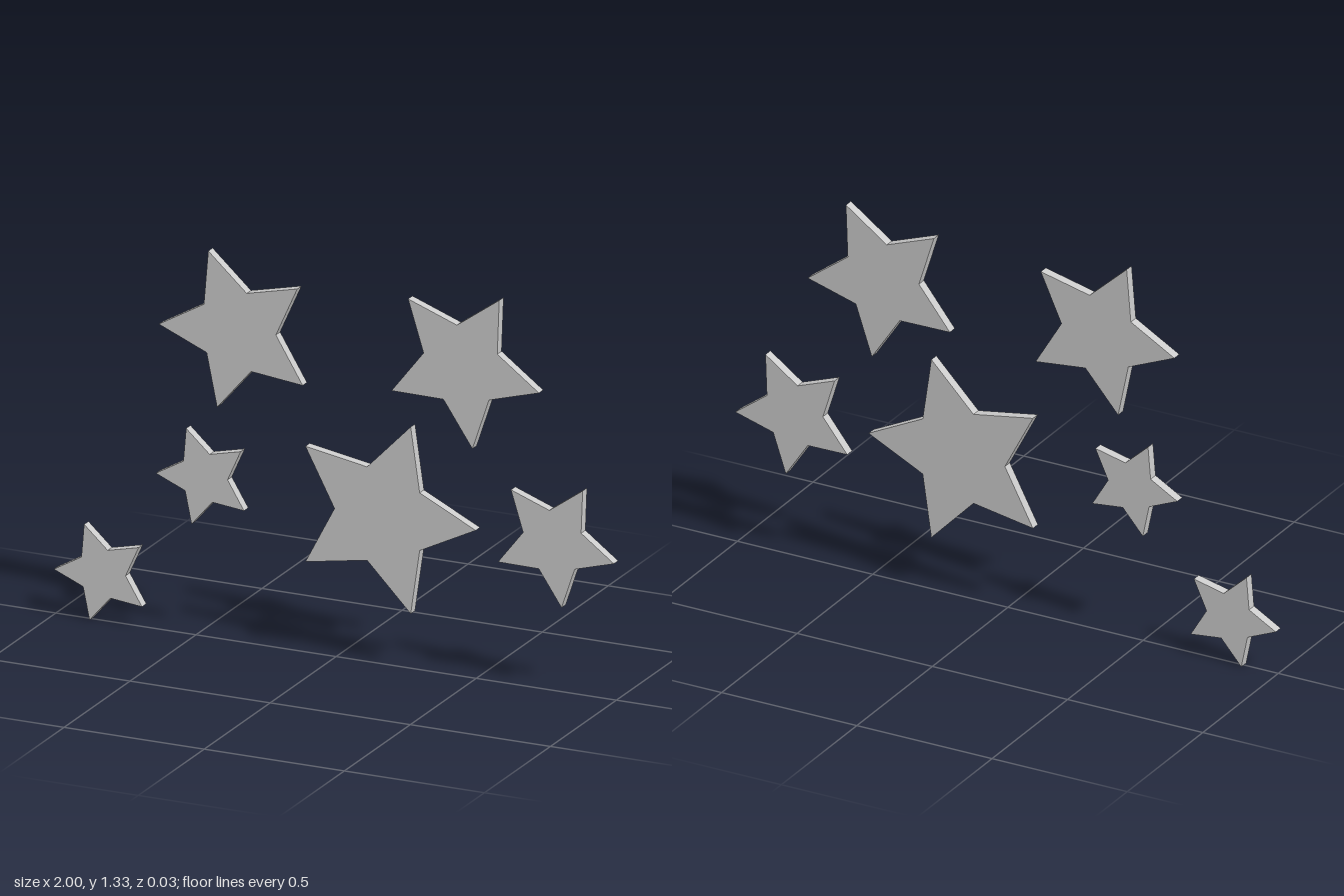
import * as THREE from 'three';

const DEPTH = 0.033;

// Five-pointed star outline; inner corners sit at half the tip radius
function starShape(radius, angle) {
  const points = [];
  for (let i = 0; i < 10; i++) {
    const a = angle + (i * Math.PI) / 5;
    const r = i % 2 ? radius * 0.5 : radius;
    points.push(new THREE.Vector2(r * Math.cos(a), r * Math.sin(a)));
  }
  return new THREE.Shape(points);
}

// name, centre x, centre y, tip radius, angle of one tip in degrees
const STARS = [
  ['largeCentreStar', 0.17, 0.512, 0.336, 0],
  ['upperLeftStar', 0.457, 1.066, 0.279, -10.4],
  ['upperRightStar', -0.3465, 1.066, 0.279, 183.4],
  ['middleLeftStar', 0.783, 0.511, 0.2195, -10.4],
  ['middleRightStar', -0.465, 0.548, 0.171, 183.4],
  ['lowerRightStar', -0.829, 0.1655, 0.171, 183.4],
];

export function createModel() {
  const group = new THREE.Group();
  group.name = 'starCluster';
  const material = new THREE.MeshStandardMaterial({ color: 0xcccccc, flatShading: true });

  // Flat extruded stars, all in one plane
  for (const [name, x, y, radius, degrees] of STARS) {
    const shape = starShape(radius, THREE.MathUtils.degToRad(degrees));
    const geometry = new THREE.ExtrudeGeometry(shape, { depth: DEPTH, bevelEnabled: false });
    geometry.translate(0, 0, -DEPTH / 2);
    const star = new THREE.Mesh(geometry, material);
    star.name = name;
    star.position.set(x, y, 0);
    group.add(star);
  }
  return group;
}
